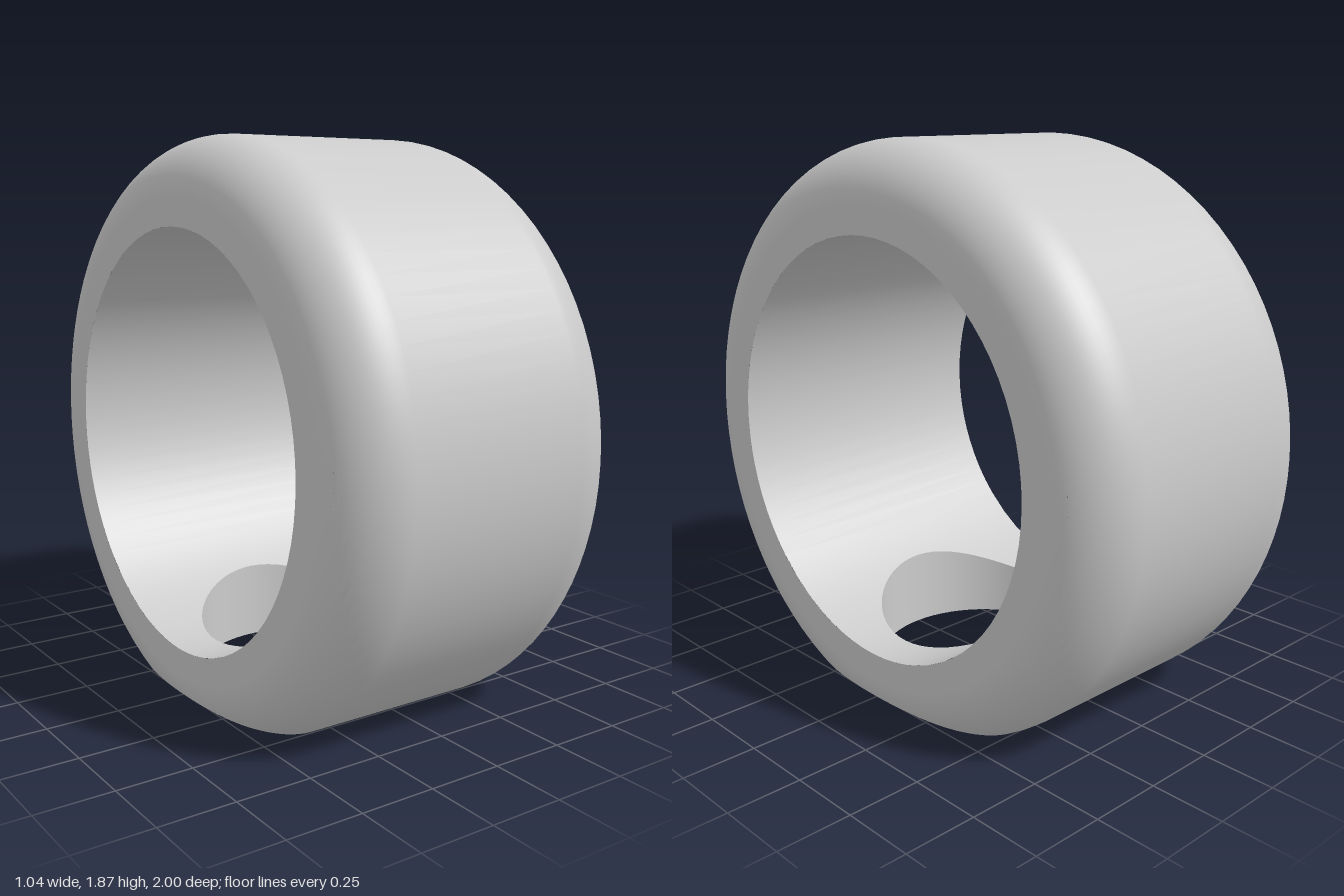
import * as THREE from 'three';

const CY = 0.87;      // height of the ring axis (runs along x); the base flat is at y = 0
const R = 1;          // outer radius
const BORE = 0.705;   // bore radius
const HALF = 0.52;    // half width
const FILLET = 0.2;   // outer edge rounding
const HOLE = 0.375;   // vertical hole radius

const material = new THREE.MeshStandardMaterial({ color: 0xcccccc });

// Surface over a (u, v) grid; fn returns [position, normal]. Faces are wound to agree with the normals.
function gridSurface(nu, nv, fn) {
  const pts = [], nrm = [], index = [];
  for (let i = 0; i <= nu; i++) {
    for (let j = 0; j <= nv; j++) {
      const [p, n] = fn(i / nu, j / nv);
      pts.push(new THREE.Vector3(...p));
      nrm.push(new THREE.Vector3(...n));
    }
  }
  const addTriangle = (a, b, c) => {
    const face = pts[b].clone().sub(pts[a]).cross(pts[c].clone().sub(pts[a]));
    const mean = nrm[a].clone().add(nrm[b]).add(nrm[c]);
    if (face.dot(mean) > 0) index.push(a, b, c);
    else index.push(a, c, b);
  };
  for (let i = 0; i < nu; i++) {
    for (let j = 0; j < nv; j++) {
      const a = i * (nv + 1) + j, b = a + nv + 1;
      addTriangle(a, b, a + 1);
      addTriangle(b, b + 1, a + 1);
    }
  }
  const g = new THREE.BufferGeometry().setFromPoints(pts);
  g.setAttribute('normal', new THREE.Float32BufferAttribute(nrm.flatMap(n => n.toArray()), 3));
  g.setIndex(index);
  return g;
}

// Half cross-section of the band from bore edge to mid width: x, radius and normal
function bandProfile() {
  const half = [{ x: HALF, r: BORE, nx: 1, nr: 0 }];
  const angles = Array.from({ length: 17 }, (_, i) => i / 16 * Math.PI / 2);
  // extra rows where the rounding first meets the base flat
  const meet = Math.asin((CY - R + FILLET) / FILLET);
  angles.push(meet, meet + 0.004, meet + 0.015);
  angles.sort((a, b) => a - b);
  for (const a of angles) {
    const nx = Math.cos(a), nr = Math.sin(a);
    half.push({ x: HALF - FILLET + FILLET * nx, r: R - FILLET + FILLET * nr, nx, nr });
  }
  const other = half.map(p => ({ ...p, x: -p.x, nx: -p.nx })).reverse();
  return [...half, ...other];
}

// Point and inward normal on the bore, theta measured from straight down
const borePoint = (x, theta) => [
  [x, CY - BORE * Math.cos(theta), BORE * Math.sin(theta)],
  [0, Math.cos(theta), -Math.sin(theta)],
];

export function createModel() {
  const group = new THREE.Group();
  const add = (name, geometry) => {
    const mesh = new THREE.Mesh(geometry, material);
    mesh.name = name;
    group.add(mesh);
  };
  const profile = bandProfile();

  // Rounded band with side faces, each row ending exactly on the base flat
  add('outerBand', gridSurface(profile.length - 1, 72, (u, v) => {
    const { x, r, nx, nr } = profile[Math.round(u * (profile.length - 1))];
    const start = r > CY ? Math.acos(CY / r) : 0;
    const t = start + v * 2 * (Math.PI - start);
    const c = Math.cos(t), s = Math.sin(t);
    return [[x, CY - r * c, r * s], [nx, -nr * c, nr * s]];
  }));

  // Base flat with the round hole
  const cut = profile.filter(p => p.r >= CY - 1e-6)
    .map(p => new THREE.Vector2(p.x, Math.sqrt(Math.max(0, p.r * p.r - CY * CY))));
  const outline = [...cut, ...cut.slice(1, -1).reverse().map(p => new THREE.Vector2(p.x, -p.y))];
  const flat = new THREE.Shape(outline);
  flat.holes.push(new THREE.Path().absarc(0, 0, HOLE, 0, Math.PI * 2, true));
  add('baseFlat', new THREE.ShapeGeometry(flat, 32).rotateX(Math.PI / 2));

  // Bore away from the hole
  const patch = 0.8;
  add('bore', gridSurface(1, 56, (u, v) =>
    borePoint((u * 2 - 1) * HALF, patch + v * 2 * (Math.PI - patch))));

  // Bottom patch of the bore, spreading from the hole's rim to a rectangle
  add('boreAroundHole', gridSurface(8, 64, (u, v) => {
    const c = Math.cos(v * Math.PI * 2), s = Math.sin(v * Math.PI * 2);
    const k = Math.max(Math.abs(c), Math.abs(s));
    const x = THREE.MathUtils.lerp(HOLE * c, HALF * c / k, u);
    const theta = THREE.MathUtils.lerp(Math.asin(HOLE * s / BORE), patch * s / k, u);
    return borePoint(x, theta);
  }));

  // Wall of the vertical hole, from the base up to the bore
  add('holeWall', gridSurface(1, 64, (u, v) => {
    const c = Math.cos(v * Math.PI * 2), s = Math.sin(v * Math.PI * 2);
    const top = CY - Math.sqrt(BORE * BORE - HOLE * HOLE * s * s);
    return [[HOLE * c, u * top, HOLE * s], [-c, 0, -s]];
  }));

  return group;
}
